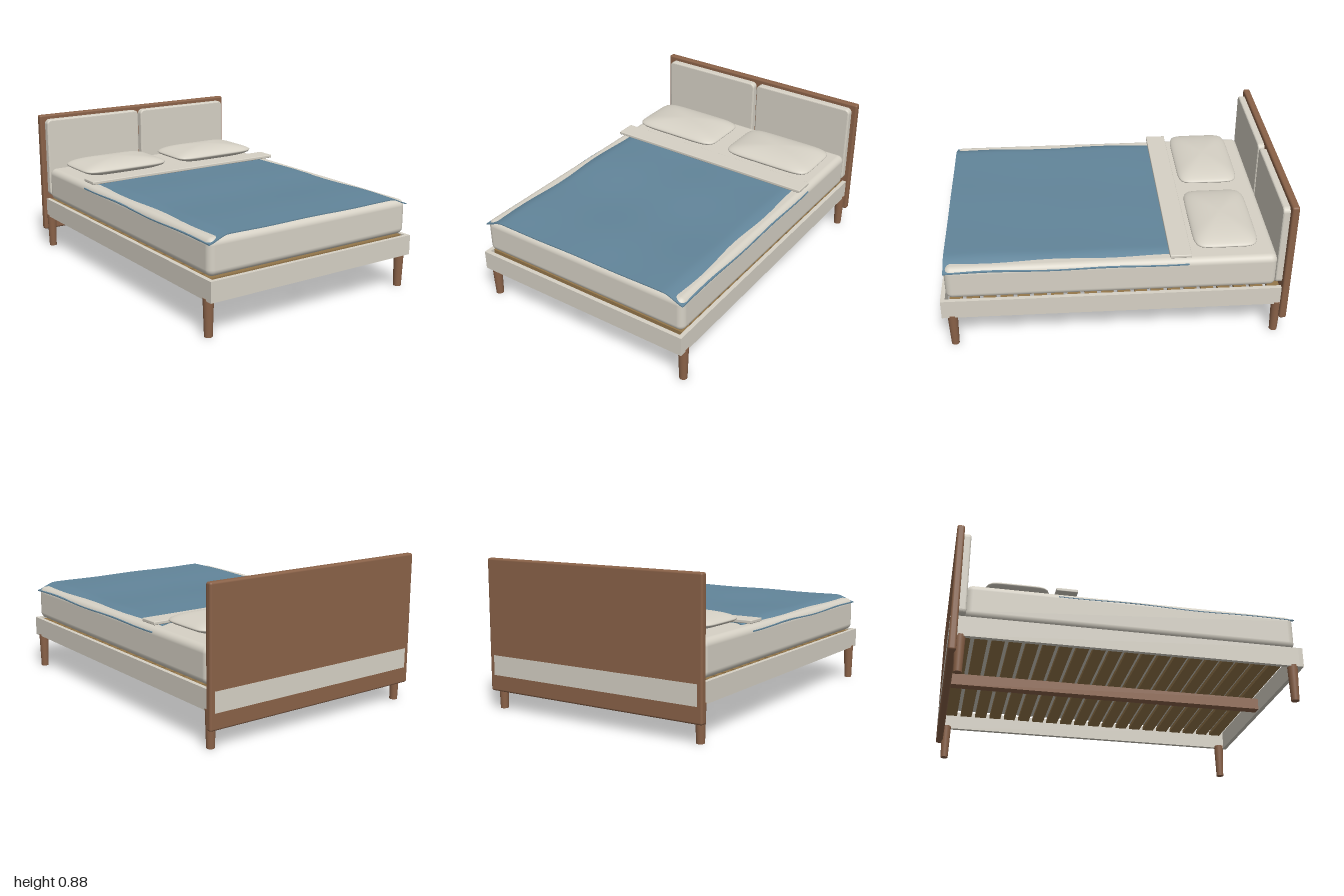
import * as THREE from 'three';
import { mergeVertices } from 'three/addons/utils/BufferGeometryUtils.js';
import { RoundedBoxGeometry } from 'three/addons/geometries/RoundedBoxGeometry.js';

const mat = (name, color) => {
  const m = new THREE.MeshStandardMaterial({ color });
  m.name = name;
  return m;
};

export function createModel() {
  const wood = mat('walnut wood', 0x8a6248);
  const slatWood = mat('slat wood', 0x94764a);
  const linen = mat('linen', 0xd6d1c5);
  const blue = mat('blue blanket', 0x62859a);

  const bed = new THREE.Group();
  bed.name = 'bed';

  const add = (name, geo, material, x = 0, y = 0, z = 0) => {
    const mesh = new THREE.Mesh(geo, material);
    mesh.name = name;
    mesh.position.set(x, y, z);
    bed.add(mesh);
    return mesh;
  };
  // Box given by its min and max corners, rounded when r > 0
  const box = (name, material, a, b, r = 0) => {
    const s = a.map((v, i) => b[i] - v);
    const c = a.map((v, i) => (b[i] + v) / 2);
    const geo = r ? new RoundedBoxGeometry(...s, 4, r) : new THREE.BoxGeometry(...s);
    return add(name, geo, material, ...c);
  };

  // Headboard and its two padded panels
  box('headboard', wood, [-0.725, 0.11, -0.9995], [0.725, 0.885, -0.957], 0.012);
  const panelGeometry = (w, h, r, depth, bevel) => {
    const x = w / 2 - bevel, y = h / 2 - bevel, s = new THREE.Shape();
    s.absarc(x - r, y - r, r, 0, Math.PI / 2);
    s.absarc(-x + r, y - r, r, Math.PI / 2, Math.PI);
    s.absarc(-x + r, -y + r, r, Math.PI, Math.PI * 1.5);
    s.absarc(x - r, -y + r, r, Math.PI * 1.5, Math.PI * 2);
    s.closePath();
    return new THREE.ExtrudeGeometry(s, {
      depth: depth - bevel, bevelSize: bevel, bevelThickness: bevel, bevelSegments: 4, curveSegments: 6,
    });
  };
  for (const side of [-1, 1]) {
    add('headboardPanel', panelGeometry(0.682, 0.512, 0.02, 0.04, 0.01), linen, side * 0.351, 0.602, -0.957);
  }

  // Upholstered frame rails
  const y0 = 0.205, y1 = 0.322;
  box('frontRail', linen, [-0.705, y0, 0.975], [0.705, y1, 1]);
  box('backRail', linen, [-0.695, y0, -1], [0.695, y1, -0.975]);
  for (const side of [-1, 1]) {
    const rail = box('sideRail', linen, [0.68, y0, -0.975], [0.705, y1, 0.975]);
    rail.position.x *= side;
  }

  // Tapered legs
  for (const x of [-0.68, 0.68]) {
    for (const z of [-0.94, 0.94]) {
      add('leg', new THREE.CylinderGeometry(0.03, 0.023, 0.215, 24), wood, x, 0.1075, z);
    }
  }

  // Centre beam and slats
  box('centreBeam', wood, [-0.03, 0.215, -0.97], [0.03, 0.285, 0.975]);
  const slats = 20, pitch = 1.92 / slats;
  for (let i = 0; i < slats; i++) {
    const z = -0.96 + (i + 0.5) * pitch;
    box('slat', slatWood, [-0.682, 0.295, z - 0.036], [0.682, 0.318, z + 0.036]);
  }

  // Mattress
  box('mattress', linen, [-0.692, 0.325, -0.925], [0.692, 0.535, 0.968], 0.04);

  // Blanket: a thin sheet with soft waves and drooping sides
  const blanketGeo = new THREE.BoxGeometry(1.388, 0.006, 1.385, 64, 1, 56);
  const p = blanketGeo.attributes.position;
  for (let i = 0; i < p.count; i++) {
    const x = p.getX(i), z = p.getZ(i) + 0.2775;
    const wave = 0.003 * Math.cos(9.2 * (z - 0.03)) + 0.002 * Math.cos(4 * z + 1.8 + x * 1.5);
    const ripple = 0.0015 * Math.sin(11 * x + 2 * z);
    const droop = 0.042 * THREE.MathUtils.smoothstep(Math.abs(x), 0.57, 0.71);
    p.setXYZ(i, x, p.getY(i) + 0.548 + wave + ripple - droop, z);
  }
  blanketGeo.computeVertexNormals();
  add('blanket', blanketGeo, blue);

  // Folded-back sheet
  box('foldedSheet', linen, [-0.685, 0.548, -0.428], [0.685, 0.568, -0.305], 0.005);

  // Pillows: spheres squared off in plan
  const pillowGeo = () => {
    const g = new THREE.SphereGeometry(1, 64, 32);
    g.deleteAttribute('uv');
    g.deleteAttribute('normal');
    const q = g.attributes.position, n = 7;
    for (let i = 0; i < q.count; i++) {
      const x = q.getX(i), y = q.getY(i), z = q.getZ(i), r = Math.hypot(x, z);
      const k = r > 1e-5 ? r / Math.pow(Math.abs(x) ** n + Math.abs(z) ** n, 1 / n) : 1;
      q.setXYZ(i, x * k * 0.295, Math.sign(y) * Math.abs(y) ** 1.15 * 0.05, z * k * 0.185);
    }
    const merged = mergeVertices(g, 1e-5);
    merged.computeVertexNormals();
    return merged;
  };
  for (const side of [-1, 1]) add('pillow', pillowGeo(), linen, side * 0.345, 0.583, -0.635);

  return bed;
}
